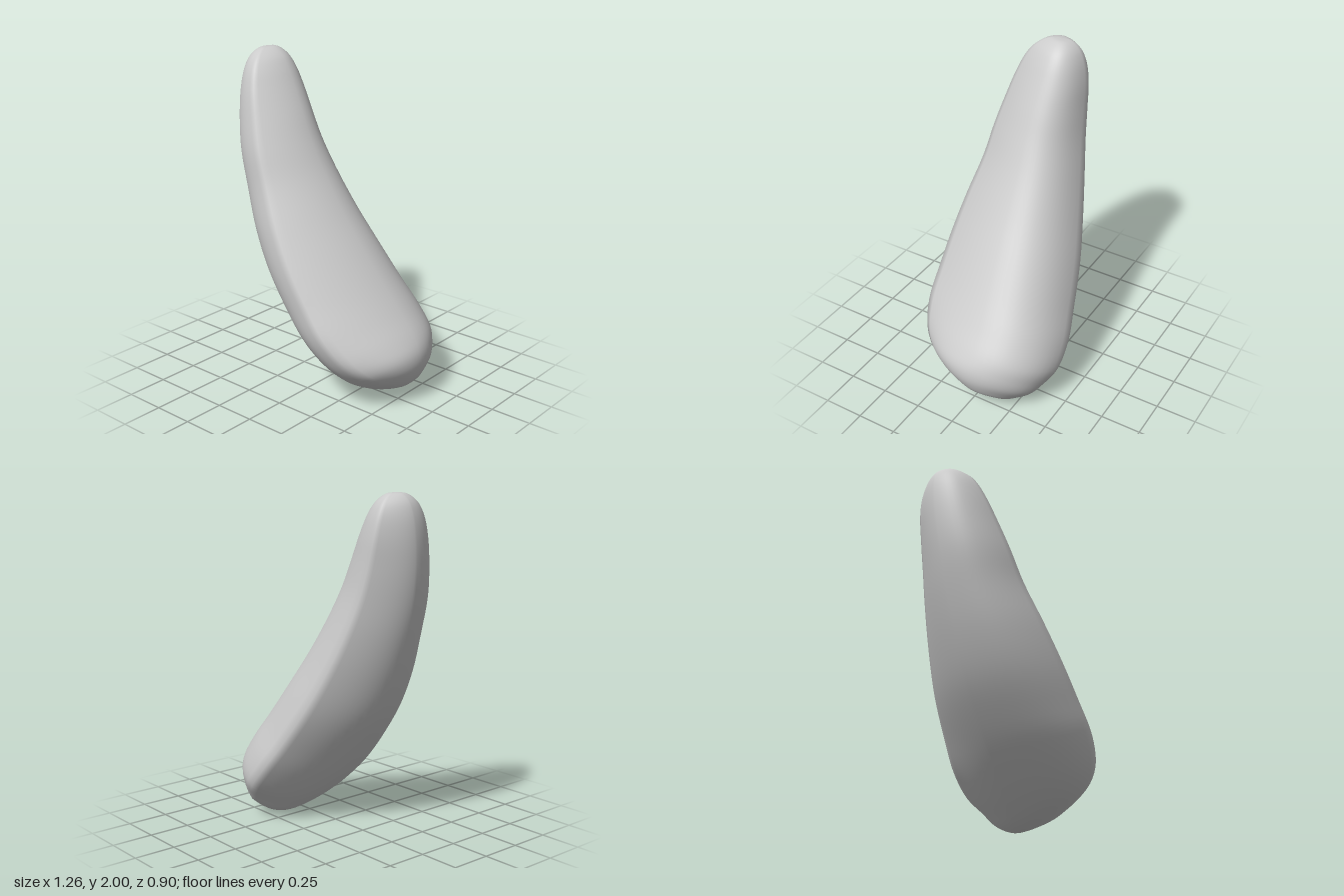
import * as THREE from 'three';
import { mergeVertices } from 'three/addons/utils/BufferGeometryUtils.js';

// Stations from tip to base: lower-left edge x, y; upper-right edge x, y; front z; back z
const STATIONS = [
  [-0.50, 2.00, -0.50, 2.00, 0.01, 0.01],
  [-0.55, 1.99, -0.45, 1.992, 0.08, -0.06],
  [-0.595, 1.945, -0.39, 1.95, 0.15, -0.115],
  [-0.62, 1.87, -0.345, 1.89, 0.20, -0.15],
  [-0.63, 1.75, -0.29, 1.79, 0.245, -0.175],
  [-0.62, 1.58, -0.215, 1.64, 0.29, -0.19],
  [-0.59, 1.40, -0.14, 1.48, 0.33, -0.21],
  [-0.53, 1.18, -0.045, 1.30, 0.36, -0.25],
  [-0.44, 0.93, 0.09, 1.085, 0.41, -0.305],
  [-0.33, 0.70, 0.23, 0.885, 0.44, -0.36],
  [-0.19, 0.49, 0.37, 0.69, 0.45, -0.405],
  [-0.04, 0.30, 0.49, 0.53, 0.45, -0.44],
  [0.10, 0.155, 0.58, 0.41, 0.41, -0.42],
  [0.21, 0.065, 0.62, 0.33, 0.34, -0.345],
  [0.28, 0.02, 0.627, 0.26, 0.25, -0.28],
  [0.35, 0.00, 0.61, 0.19, 0.14, -0.20],
  [0.42, 0.015, 0.575, 0.125, 0.05, -0.14],
  [0.505, 0.06, 0.505, 0.06, -0.05, -0.05],
];
const RINGS = 85;
const BASE_LEAN = 0.1; // how far the underside shifts back near the base

// Unit cross-section: flat flanks and full round flanks alternate between two ridges
function crossSection(steps = 12) {
  const v = (x, y) => new THREE.Vector2(x, y);
  const upperEdge = v(1, -0.18), frontRidge = v(0.34, 1);
  const lowerEdge = v(-1, 0.02), backRidge = v(-0.34, -1);
  return [
    [upperEdge, v(0.97, 0.36), frontRidge],
    [frontRidge, v(-0.9, 0.96), lowerEdge],
    [lowerEdge, v(-0.97, -0.4), backRidge],
    [backRidge, v(0.97, -0.87), upperEdge],
  ].flatMap(c => new THREE.QuadraticBezierCurve(...c).getPoints(steps).slice(0, -1));
}

function bodyGeometry() {
  const lower = new THREE.CatmullRomCurve3(STATIONS.map(s => new THREE.Vector3(s[0], s[1], s[4])));
  const upper = new THREE.CatmullRomCurve3(STATIONS.map(s => new THREE.Vector3(s[2], s[3], s[5])));
  const section = crossSection(), sides = section.length;
  const positions = [], index = [];
  for (let i = 0; i <= RINGS; i++) {
    const t = i / RINGS, l = lower.getPoint(t), r = upper.getPoint(t);
    const base = THREE.MathUtils.smoothstep(t, 0.6, 0.85);
    section.forEach((point, j) => {
      // The ridges soften into a round section at the base
      const p = point.clone().lerp(point.clone().normalize(), 0.7 * base);
      const f = 0.5 + 0.5 * p.x;
      positions.push(
        l.x + (r.x - l.x) * f,
        l.y + (r.y - l.y) * f,
        (l.z + r.z) / 2 + (l.z - r.z) / 2 * p.y - BASE_LEAN * base * (1 - (i < RINGS ? f : 0.5)),
      );
      const a = i * sides + j, b = i * sides + (j + 1) % sides;
      if (i > 0 && i < RINGS) index.push(a, b, a + sides);
      if (i < RINGS - 1) index.push(b, b + sides, a + sides);
    });
  }
  const geometry = new THREE.BufferGeometry();
  geometry.setAttribute('position', new THREE.Float32BufferAttribute(positions, 3));
  geometry.setIndex(index);
  const welded = mergeVertices(geometry, 1e-5); // closes both poles
  welded.computeVertexNormals();
  return welded;
}

export function createModel() {
  const group = new THREE.Group();
  const body = new THREE.Mesh(
    bodyGeometry(),
    new THREE.MeshStandardMaterial({ color: 0xcccccc }),
  );
  body.name = 'curvedBody';
  group.add(body);
  return group;
}
